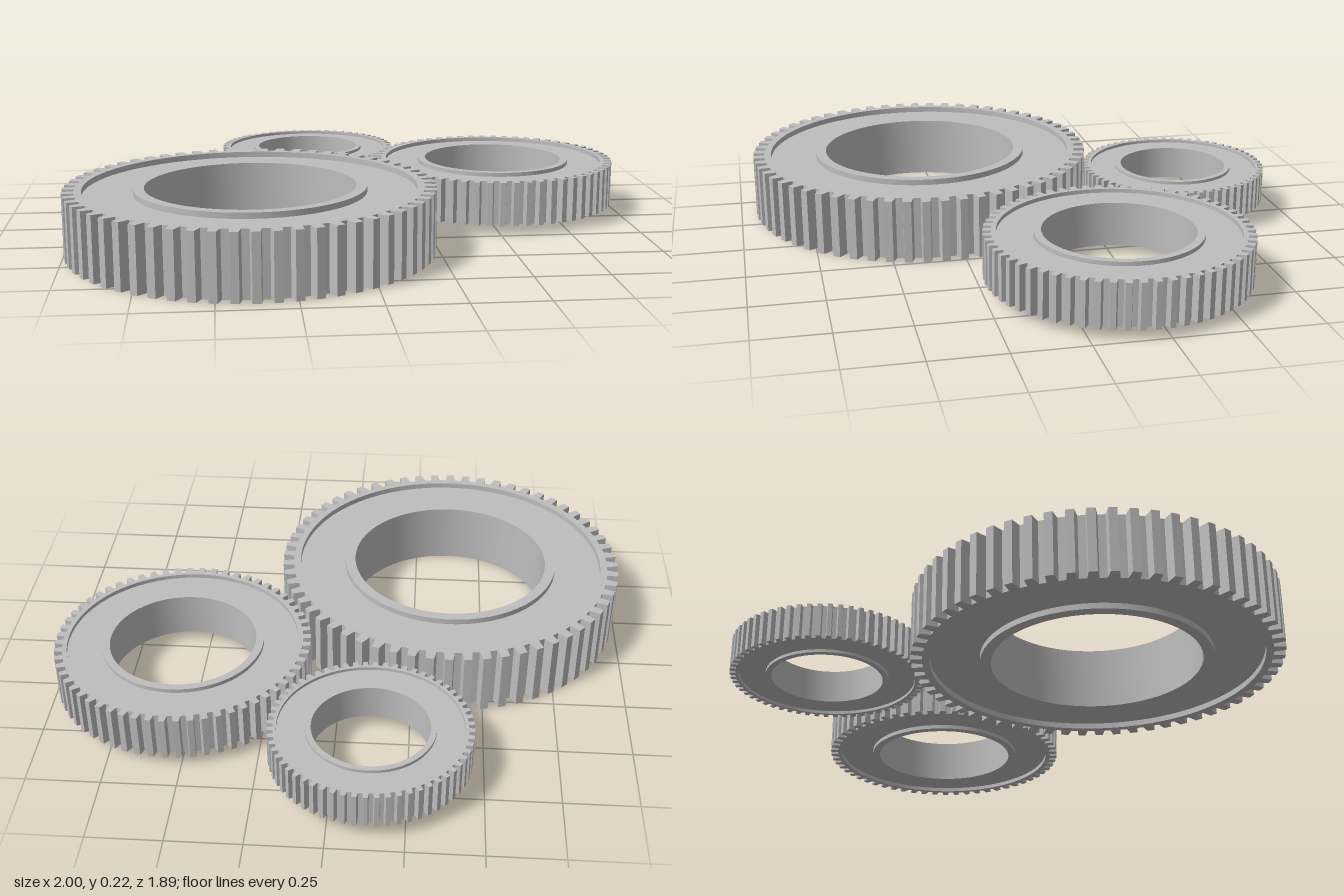
import * as THREE from 'three';
import { toCreasedNormals } from 'three/addons/utils/BufferGeometryUtils.js';

const TEETH = 60;
const steel = new THREE.MeshStandardMaterial({ color: 0xbebebe });
steel.name = 'steel grey';

// Ring of tapered teeth with a round opening, lying flat from y = 0 to height
function toothedRim(outer, root, inner, height) {
  const shape = new THREE.Shape();
  const pitch = (Math.PI * 2) / TEETH;
  const profile = [[-0.3, root], [-0.21, outer], [0.21, outer], [0.3, root]];
  for (let i = 0; i < TEETH; i++) {
    profile.forEach(([t, r], k) => {
      const a = (i + t) * pitch;
      const x = r * Math.cos(a), y = r * Math.sin(a);
      if (i === 0 && k === 0) shape.moveTo(x, y);
      else shape.lineTo(x, y);
    });
  }
  shape.closePath();
  const hole = new THREE.Path();
  hole.absarc(0, 0, inner, 0, Math.PI * 2, true);
  shape.holes.push(hole);
  const g = new THREE.ExtrudeGeometry(shape, { depth: height, bevelEnabled: false, curveSegments: 48 });
  g.rotateX(-Math.PI / 2);
  return toCreasedNormals(g, 0.3);
}

// Recessed web and raised hub collar, turned around the bore
function webAndHub(rim, hub, bore, height, recess) {
  const low = recess, high = height - recess;
  const points = [
    [rim, high], [hub, high], [hub, height], [bore, height],
    [bore, 0], [hub, 0], [hub, low], [rim, low],
  ].map(([r, y]) => new THREE.Vector2(r, y));
  return toCreasedNormals(new THREE.LatheGeometry(points, 96), 0.3);
}

function gear(name, { x, z, y, height, outer, root, rim, hub, bore }) {
  const group = new THREE.Group();
  group.name = name;
  const teeth = new THREE.Mesh(toothedRim(outer, root, rim, height), steel);
  teeth.name = 'toothedRim';
  const body = new THREE.Mesh(webAndHub(rim, hub, bore, height, outer * 0.032), steel);
  body.name = 'webAndHub';
  group.add(teeth, body);
  group.position.set(x, y, z);
  return group;
}

export function createModel() {
  const model = new THREE.Group();
  model.name = 'gearTrain';
  model.add(
    gear('largeGear', { x: -0.376, z: 0.319, y: 0, height: 0.22, outer: 0.625, root: 0.585, rim: 0.56, hub: 0.392, bore: 0.355 }),
    gear('mediumGear', { x: 0.552, z: -0.205, y: 0.032, height: 0.156, outer: 0.447, root: 0.419, rim: 0.403, hub: 0.282, bore: 0.255 }),
    gear('smallGear', { x: -0.125, z: -0.608, y: 0.05, height: 0.12, outer: 0.339, root: 0.319, rim: 0.308, hub: 0.215, bore: 0.195 }),
  );
  return model;
}
